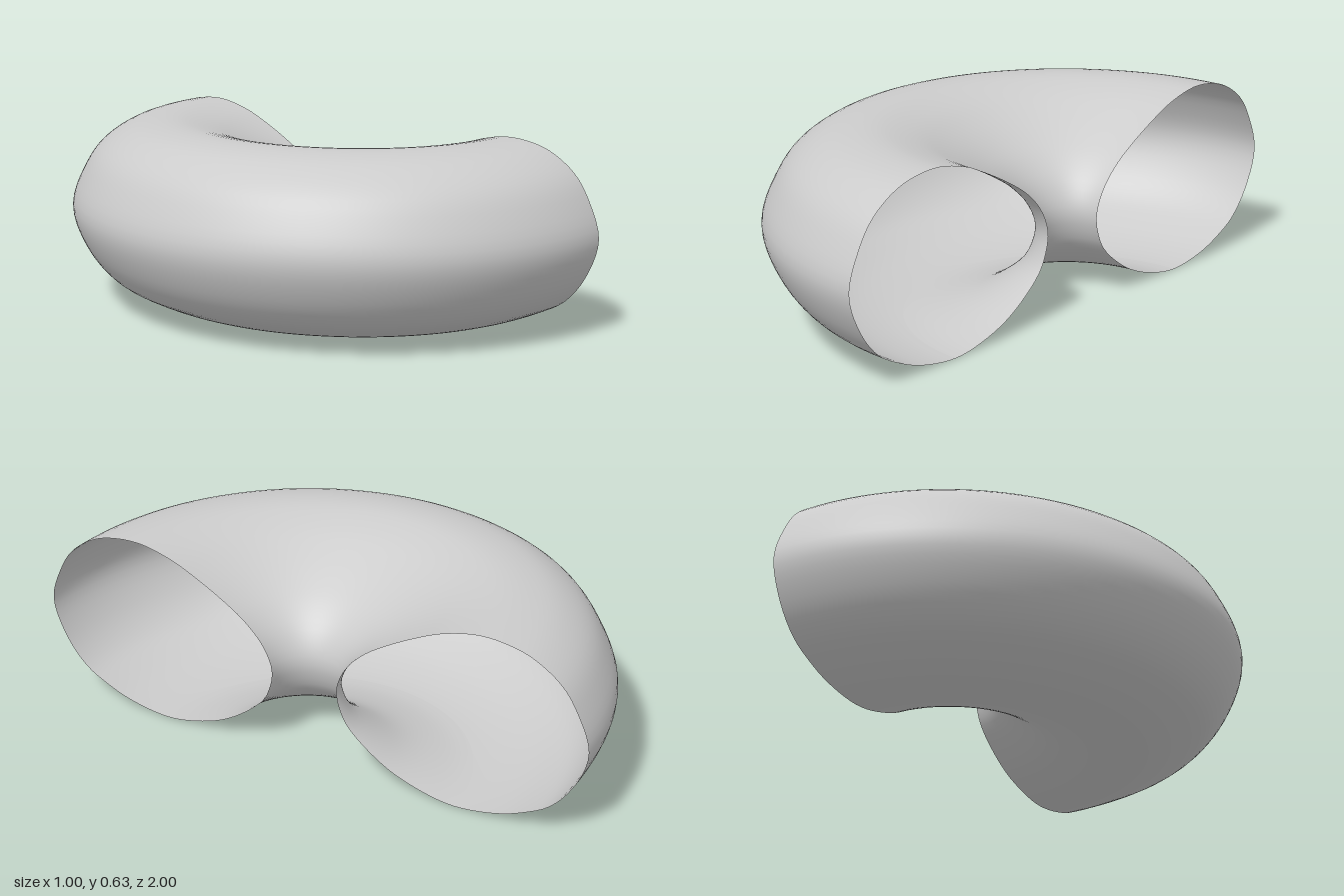
import * as THREE from 'three';

export function createModel() {
  const group = new THREE.Group();
  group.name = 'halfRingPipe';

  // Egg-shaped cross-section as [radius from bend axis, height], counterclockwise
  const section = [
    [0.55, 0], [0.7, 0.022], [0.8, 0.06], [0.88, 0.107], [0.955, 0.2],
    [1, 0.335], [0.955, 0.465], [0.9, 0.543], [0.8, 0.608], [0.7, 0.632],
    [0.62, 0.634], [0.5, 0.606], [0.407, 0.565], [0.3, 0.507], [0.22, 0.453],
    [0.152, 0.38], [0.121, 0.3], [0.133, 0.23], [0.166, 0.17], [0.3, 0.067], [0.43, 0.018],
  ].map(([r, y]) => new THREE.Vector3(r, y, 0));
  const curve = new THREE.CatmullRomCurve3(section, true, 'centripetal');
  const profile = curve.getSpacedPoints(80).map(
    (p) => new THREE.Vector2(THREE.MathUtils.clamp(p.x, 0.12, 1), THREE.MathUtils.clamp(p.y, 0, 0.635)));

  // Open pipe swept half a turn around the vertical axis, ends facing +x
  const pipe = new THREE.Mesh(
    new THREE.LatheGeometry(profile, 80, Math.PI, Math.PI),
    new THREE.MeshStandardMaterial({ color: 0xcccccc, side: THREE.DoubleSide }));
  pipe.name = 'curvedPipe';
  pipe.position.x = 0.5;
  group.add(pipe);
  return group;
}
